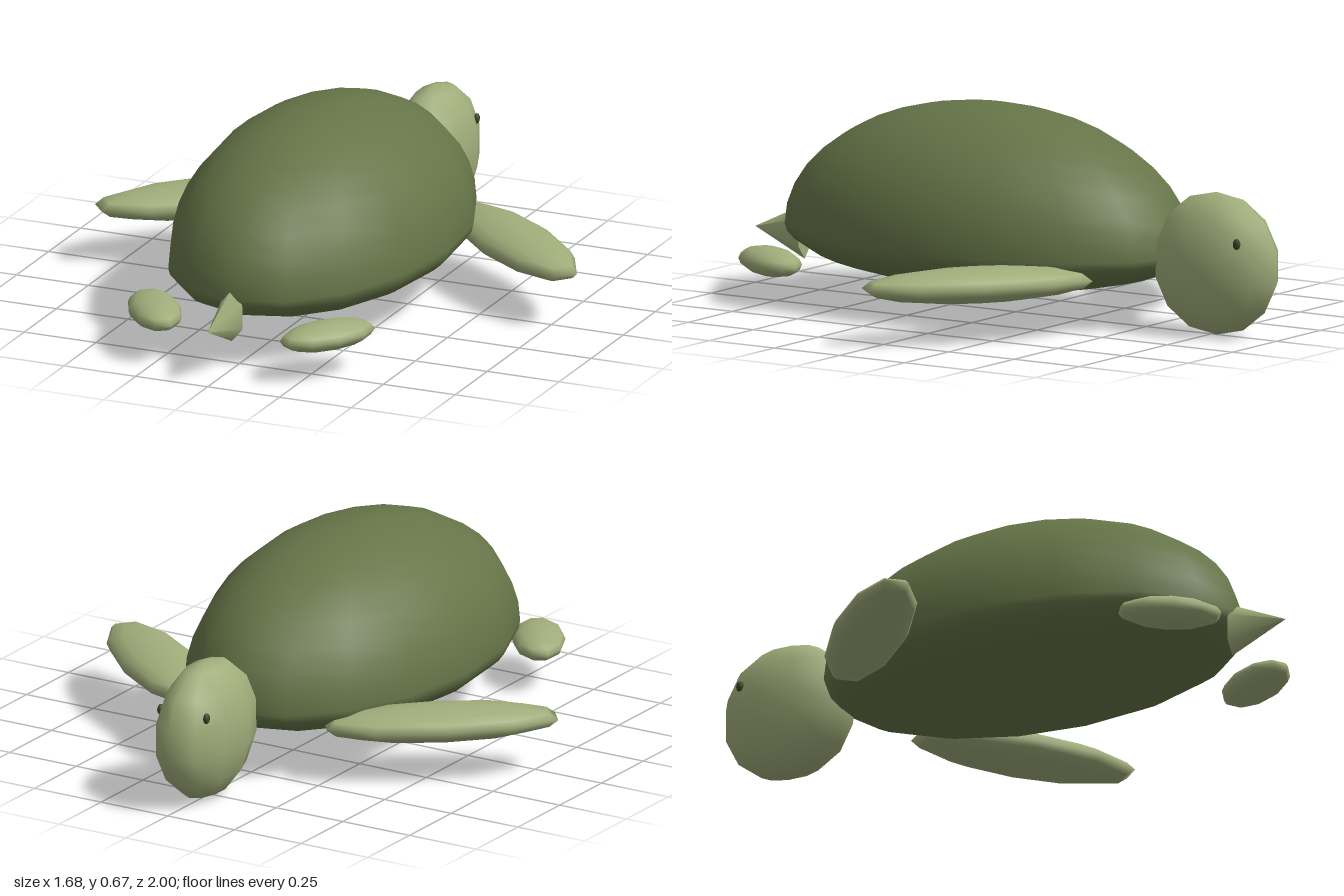
import * as THREE from 'three';

export function createModel() {
  const turtle = new THREE.Group();
  turtle.name = 'turtle';
  const mat = (name, color) => {
    const m = new THREE.MeshStandardMaterial({ color });
    m.name = name;
    return m;
  };
  const shellGreen = mat('shellGreen', 0x667548);
  const skinGreen = mat('skinGreen', 0xa0ad7a);
  const eyeDark = mat('eyeDark', 0x3a4426);

  const add = (name, geometry, material, pos, yaw = 0) => {
    const mesh = new THREE.Mesh(geometry, material);
    mesh.name = name;
    mesh.position.set(...pos);
    mesh.rotation.y = yaw;
    turtle.add(mesh);
    return mesh;
  };
  // smooth low-poly ellipsoid
  const ellipsoid = (rx, ry, rz, w, h) => new THREE.SphereGeometry(1, w, h).scale(rx, ry, rz);

  // Shell: tall dome above the rim, shallow belly below it
  const shell = new THREE.SphereGeometry(1, 16, 20);
  const p = shell.attributes.position;
  const n = shell.attributes.normal;
  for (let i = 0; i < p.count; i++) {
    const ry = p.getY(i) > 0 ? 0.43 : 0.155;
    const v = new THREE.Vector3(n.getX(i) / 0.435, n.getY(i) / ry, n.getZ(i) / 0.725).normalize();
    n.setXYZ(i, v.x, v.y, v.z);
    p.setXYZ(i, p.getX(i) * 0.435, p.getY(i) * ry, p.getZ(i) * 0.725);
  }
  add('shell', shell, shellGreen, [0, 0.24, 0.105]);

  // Head: tall narrow ellipsoid
  const headGeo = new THREE.SphereGeometry(1, 10, 7).rotateY(Math.PI / 2).scale(0.126, 0.23, 0.236);
  add('head', headGeo, skinGreen, [0, 0.235, -0.77]);

  // Paired flippers and eyes
  const frontGeo = ellipsoid(0.123, 0.057, 0.39, 10, 8);
  const hindGeo = ellipsoid(0.085, 0.045, 0.17, 10, 8);
  const eyeGeo = ellipsoid(0.01, 0.018, 0.014, 8, 6);
  for (const [side, s] of [['left', 1], ['right', -1]]) {
    add(side + 'FrontFlipper', frontGeo, skinGreen, [s * 0.53, 0.187, -0.21], s * 0.873);
    add(side + 'HindFlipper', hindGeo, skinGreen, [s * 0.3, 0.14, 0.74], s * -0.588);
    add(side + 'Eye', eyeGeo, eyeDark, [s * 0.086, 0.32, -0.905]);
  }

  // Tail: flattened cone pointing back
  const tailGeo = new THREE.ConeGeometry(1, 0.19, 6).rotateX(Math.PI / 2).scale(0.042, 0.088, 1);
  add('tail', tailGeo, skinGreen, [0, 0.187, 0.905]);

  return turtle;
}
